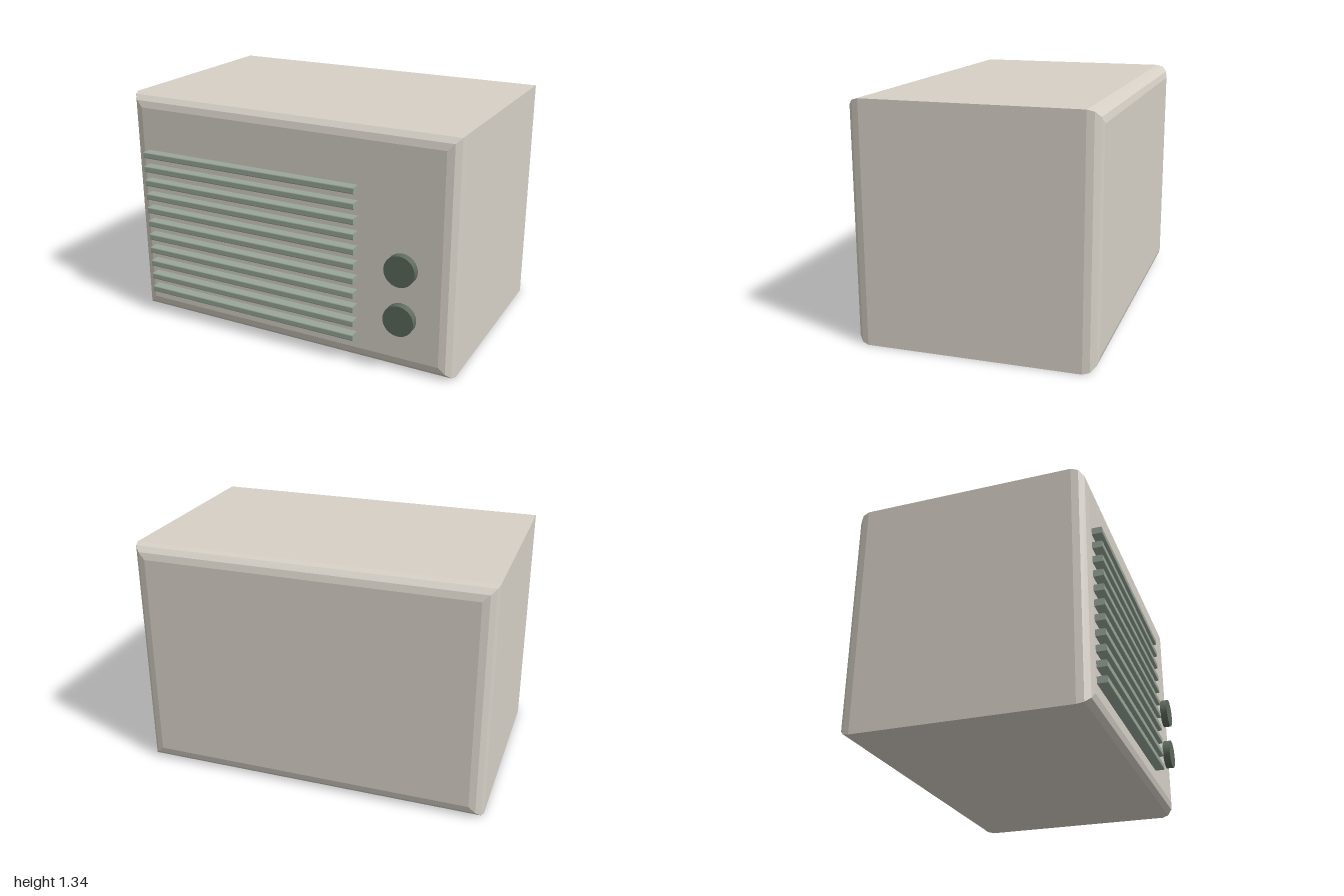
import * as THREE from 'three';

const mat = (color) => new THREE.MeshStandardMaterial({ color });

function add(parent, name, geometry, material, x, y, z) {
  const mesh = new THREE.Mesh(geometry, material);
  mesh.name = name;
  mesh.position.set(x, y, z);
  parent.add(mesh);
  return mesh;
}

// Rectangle centred on the origin, with optional rounded corners
function rectShape(w, h, r = 0) {
  const s = new THREE.Shape();
  const x = w / 2, y = h / 2;
  if (!r) {
    return s.moveTo(-x, -y).lineTo(x, -y).lineTo(x, y).lineTo(-x, y).closePath();
  }
  s.absarc(x - r, -y + r, r, -Math.PI / 2, 0);
  s.absarc(x - r, y - r, r, 0, Math.PI / 2);
  s.absarc(-x + r, y - r, r, Math.PI / 2, Math.PI);
  s.absarc(-x + r, -y + r, r, Math.PI, Math.PI * 1.5);
  return s.closePath();
}

export function createModel() {
  const model = new THREE.Group();
  const shell = mat(0xd6d0c6);
  const slatColor = mat(0x98a698);
  const knobColor = mat(0x5d6b5d);

  // Cabinet: square-cornered box with faceted bevels at front and back
  const W = 2, H = 1.34, back = -0.7, front = 0.637, bevel = 0.075;
  const cabinet = new THREE.ExtrudeGeometry(rectShape(W, H), {
    depth: front - back - 2 * bevel,
    bevelThickness: bevel,
    bevelSize: bevel,
    bevelOffset: -bevel,
    bevelSegments: 3,
  });
  add(model, 'cabinet', cabinet, shell, 0, H / 2, back + bevel);

  // Speaker grille: a stack of horizontal slats with softened edges
  const grille = new THREE.Group();
  grille.name = 'grille';
  model.add(grille);
  const slatLength = 1.343, slatDepth = 0.085;
  const slat = new THREE.ExtrudeGeometry(rectShape(slatDepth, 0.037, 0.007), {
    depth: slatLength, bevelEnabled: false, curveSegments: 3,
  });
  slat.translate(0, 0, -slatLength / 2).rotateY(Math.PI / 2);
  for (let i = 0; i < 11; i++) {
    add(grille, 'slat', slat, slatColor, -0.221, 0.156 + i * 0.0844, 0.692 - slatDepth / 2);
  }

  // Two control knobs, standing just clear of the front panel
  const knob = new THREE.CylinderGeometry(0.087, 0.087, 0.043, 48).rotateX(Math.PI / 2);
  for (const [name, y] of [['upperKnob', 0.609], ['lowerKnob', 0.327]]) {
    add(model, name, knob, knobColor, 0.716, y, 0.6785);
  }

  return model;
}
